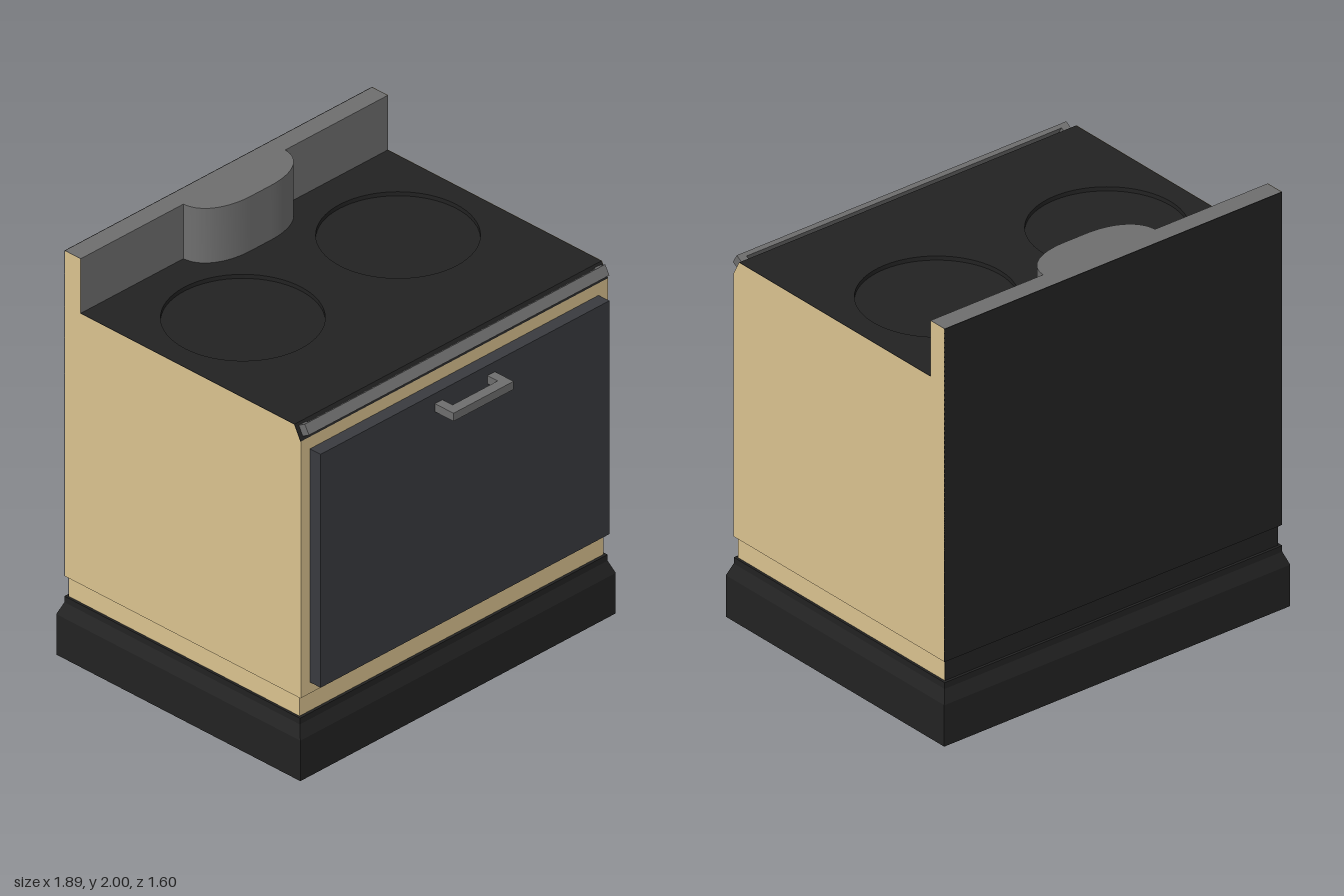
import * as THREE from 'three';
import { toCreasedNormals } from 'three/addons/utils/BufferGeometryUtils.js';

const paint = (color) => new THREE.MeshStandardMaterial({ color });

export function createModel() {
  const stove = new THREE.Group();
  stove.name = 'stove';
  const wood = paint(0xdac28f);
  const black = paint(0x222222);
  const charcoal = paint(0x393a3f);
  const grey = paint(0x6e6e6e);

  const add = (name, geometry, material, parent = stove) => {
    const mesh = new THREE.Mesh(geometry, material);
    mesh.name = name;
    parent.add(mesh);
    return mesh;
  };
  // Box from its half width and its y and z limits
  const slab = (name, material, halfX, y0, y1, z0, z1) => {
    const mesh = add(name, new THREE.BoxGeometry(2 * halfX, y1 - y0, z1 - z0), material);
    mesh.position.set(0, (y0 + y1) / 2, (z0 + z1) / 2);
    return mesh;
  };
  // Shape drawn in x and z, extruded down from the height "top"
  const plan = (name, material, shape, top, depth) => {
    const geometry = new THREE.ExtrudeGeometry(shape, { depth, bevelEnabled: false, curveSegments: 32 });
    geometry.rotateX(Math.PI / 2);
    const mesh = add(name, toCreasedNormals(geometry, 0.5), material);
    mesh.position.y = top;
    return mesh;
  };
  const polygon = (points) => new THREE.Shape(points.map(([a, b]) => new THREE.Vector2(a, b)));

  // Base skirt, drawn in towards the top
  const rings = [[0, 0.945, 0.722], [0.2, 0.945, 0.722], [0.26, 0.922, 0.697], [0.29, 0.922, 0.697]];
  const skirt = new THREE.BoxGeometry(2, 3, 2, 1, 3, 1);
  const p = skirt.attributes.position;
  for (let i = 0; i < p.count; i++) {
    const [y, x, z] = rings[Math.round(p.getY(i) + 1.5)];
    p.setXYZ(i, p.getX(i) * x, y, p.getZ(i) * z - 0.073);
  }
  add('baseSkirt', toCreasedNormals(skirt, 0.2), black);

  // Recessed plinth and carcass, both with black backs
  slab('plinth', wood, 0.91, 0.29, 0.39, -0.753, 0.61);
  slab('plinthBack', black, 0.91, 0.29, 0.39, -0.757, -0.753);
  slab('carcass', wood, 0.92, 0.39, 1.66, -0.766, 0.627);
  slab('backPanel', black, 0.922, 0.39, 2, -0.77, -0.766);

  // Wooden sides, following the outline of body and backguard
  const sideMaterial = wood.clone();
  sideMaterial.side = THREE.DoubleSide;
  const side = polygon([[-0.627, 0.39], [0.77, 0.39], [0.77, 2], [0.675, 2],
    [0.675, 1.73], [-0.59, 1.73], [-0.627, 1.66]]);
  for (const s of [1, -1]) {
    const mesh = add(s > 0 ? 'leftSide' : 'rightSide', new THREE.ShapeGeometry(side), sideMaterial);
    mesh.rotation.y = Math.PI / 2;
    mesh.position.x = s * 0.922;
  }

  // Cooktop with two round sunken burners
  slab('burnerFloor', black, 0.92, 1.66, 1.71, -0.766, 0.59);
  const top = polygon([[-0.92, -0.675], [0.92, -0.675], [0.92, 0.59], [-0.92, 0.59]]);
  for (const x of [-0.465, 0.465]) {
    top.holes.push(new THREE.Path().absarc(x, -0.165, 0.347, 0, 2 * Math.PI, true));
  }
  plan('cooktop', black, top, 1.73, 0.02);

  // Slanted front edge of the cooktop
  const edge = new THREE.ExtrudeGeometry(
    polygon([[-0.627, 1.66], [-0.59, 1.66], [-0.59, 1.73]]), { depth: 1.84, bevelEnabled: false });
  edge.rotateY(Math.PI / 2).translate(-0.92, 0, 0);
  add('cooktopEdge', edge, black);

  // Backguard with a rounded housing in the middle
  slab('backguard', grey, 0.92, 1.71, 2, -0.766, -0.675);
  const housing = new THREE.Shape();
  housing.moveTo(-0.305, -0.68);
  housing.bezierCurveTo(-0.305, -0.58, -0.2, -0.518, -0.06, -0.518);
  housing.lineTo(0.06, -0.518);
  housing.bezierCurveTo(0.2, -0.518, 0.305, -0.58, 0.305, -0.68);
  plan('backguardHousing', grey, housing, 2, 0.27);

  // Oven door
  slab('ovenDoor', charcoal, 0.865, 0.445, 1.6, 0.627, 0.69);

  // Bracket: a bar on two posts, reaching along +z
  const bracket = (name, halfX, height, reach, bar, post) => {
    const group = new THREE.Group();
    group.name = name;
    stove.add(group);
    add(name + 'Bar', new THREE.BoxGeometry(2 * halfX, height, bar), grey, group)
      .position.z = reach - bar / 2;
    for (const s of [1, -1]) {
      add(name + 'Post', new THREE.BoxGeometry(post, height, reach - bar), grey, group)
        .position.set(s * (halfX - post / 2), 0, (reach - bar) / 2);
    }
    return group;
  };
  bracket('doorHandle', 0.18, 0.04, 0.11, 0.05, 0.045).position.set(0, 1.53, 0.69);
  const rail = bracket('frontRail', 0.9, 0.05, 0.055, 0.02, 0.04);
  rail.position.set(0, 1.69, 0.596);
  rail.rotation.x = -Math.PI / 6;

  return stove;
}
